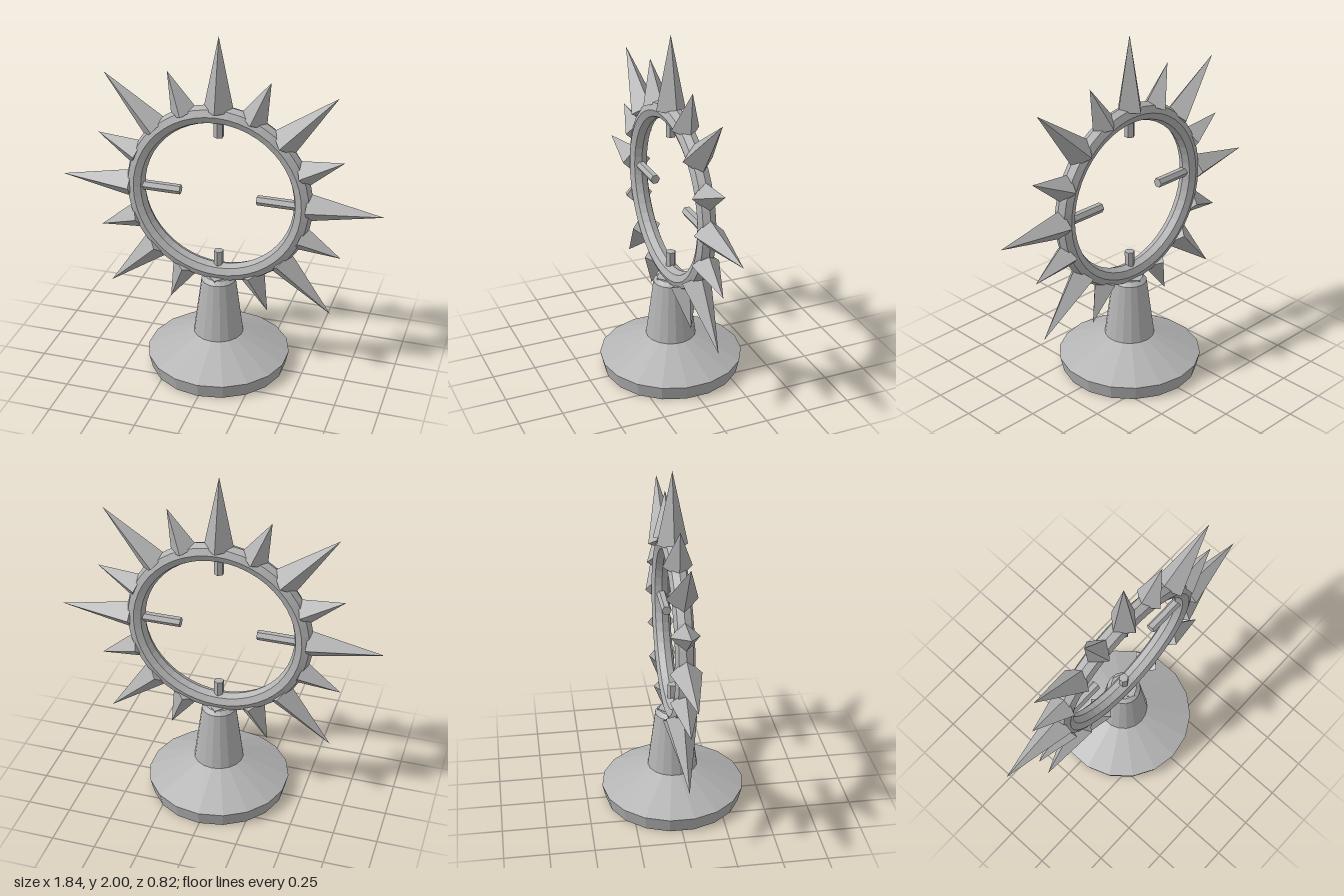
import * as THREE from 'three';

export function createModel() {
  const model = new THREE.Group();
  const stone = new THREE.MeshStandardMaterial({ color: 0xb3b3b3 });
  const centreY = 1.08;

  function add(parent, name, geometry) {
    const flat = geometry.index ? geometry.toNonIndexed() : geometry;
    flat.computeVertexNormals(); // faceted
    const mesh = new THREE.Mesh(flat, stone);
    mesh.name = name;
    parent.add(mesh);
    return mesh;
  }

  // Round pedestal with a tapering neck
  const profile = [[0, 0], [0.39, 0], [0.41, 0.085], [0.143, 0.21], [0.098, 0.55], [0.075, 0.572], [0, 0.572]];
  add(model, 'pedestal', new THREE.LatheGeometry(profile.map(([r, y]) => new THREE.Vector2(r, y)), 18));

  // Everything on the wheel is placed around its centre
  const wheel = new THREE.Group();
  wheel.name = 'spikedWheel';
  wheel.position.y = centreY;
  model.add(wheel);

  // Ring with an octagonal section
  add(wheel, 'ring', new THREE.TorusGeometry(0.48, 0.053, 8, 48));

  // Places an upright part at a radius, pointing outwards
  function placeRadially(mesh, angle, radius) {
    mesh.position.set(-Math.sin(angle) * radius, Math.cos(angle) * radius, 0);
    mesh.rotation.z = angle;
  }

  // Sixteen four-sided spikes, alternately long and short
  const base = 0.505;
  for (let i = 0; i < 16; i++) {
    const long = i % 2 === 0;
    const length = (long ? 0.92 : 0.753) - base;
    const spike = add(wheel, long ? 'longSpike' : 'shortSpike',
      new THREE.ConeGeometry(long ? 0.085 : 0.08, length, 4));
    placeRadially(spike, (i * Math.PI) / 8, base + length / 2);
  }

  // Four inward pegs, the horizontal pair longer
  for (let i = 0; i < 4; i++) {
    const inner = i % 2 ? 0.22 : 0.35;
    const outer = 0.46;
    const peg = add(wheel, 'innerPeg', new THREE.CylinderGeometry(0.028, 0.028, outer - inner, 6));
    placeRadially(peg, (i * Math.PI) / 2, (inner + outer) / 2);
  }

  return model;
}
